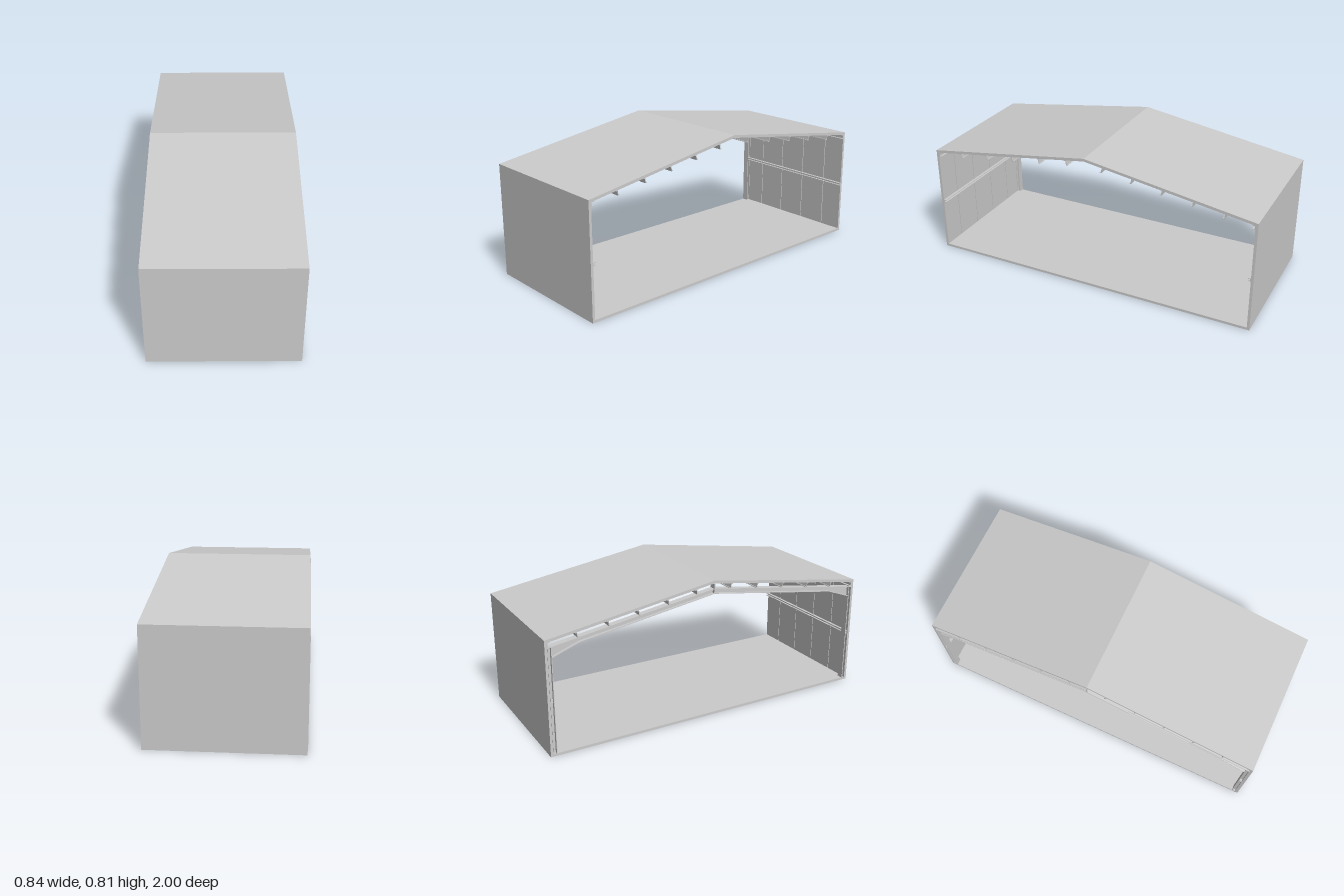
import * as THREE from 'three';

const X0 = -0.42, X1 = 0.42;       // ends of the bay
const SLOPE = 0.153;               // roof pitch
const roofY = (z, top) => top - SLOPE * Math.abs(z);

export function createModel() {
  const model = new THREE.Group();
  const material = new THREE.MeshStandardMaterial({ color: 0xcccccc, flatShading: true });

  // Extrudes a [z, y] outline along x from a to b
  function prism(name, outline, a, b, parent = model) {
    const shape = new THREE.Shape(outline.map(([z, y]) => new THREE.Vector2(z, y)));
    const geometry = new THREE.ExtrudeGeometry(shape, { depth: b - a, bevelEnabled: false });
    geometry.rotateY(-Math.PI / 2).translate(b, 0, 0);
    const mesh = new THREE.Mesh(geometry, material);
    mesh.name = name;
    parent.add(mesh);
    return mesh;
  }
  const rect = (z0, z1, y0, y1) => [[z0, y0], [z1, y0], [z1, y1], [z0, y1]];

  // Floor slab
  prism('floor', rect(-0.985, 0.985, 0, 0.015), X0, X1);

  // Z-section outline: height h, flange f, sheet thickness t, standing on y = 0
  const zed = (h, f, t) => [
    [-t / 2, t], [-t / 2, h], [f, h], [f, h - t], [t / 2, h - t],
    [t / 2, 0], [-f, 0], [-f, t],
  ];

  const seams = [X0, -0.26, -0.08, 0.10, 0.28, X1];

  for (const s of [1, -1]) {
    const side = new THREE.Group();
    side.name = s > 0 ? 'frontHalf' : 'backHalf';
    model.add(side);
    const m = (pts) => pts.map(([z, y]) => [s * z, y]);
    const add = (name, pts, a, b) => prism(name, m(pts), a, b, side);

    // Roof panel
    add('roofPanel', [[0, 0.815], [1, 0.662], [1, 0.646], [0, 0.799]], X0, X1);

    // Wall: continuous outer skin and inner lining split by narrow seams
    add('wallSkin', [[0.99, 0], [1, 0], [1, 0.646], [0.99, 0.6475]], X0, X1);
    for (let i = 0; i < seams.length - 1; i++) {
      const a = seams[i] + (i ? 0.002 : 0);
      const b = seams[i + 1] - (i < seams.length - 2 ? 0.002 : 0);
      add('wallLining', [[0.985, 0], [0.99, 0], [0.99, 0.6475], [0.985, 0.648]], a, b);
    }

    // Purlins between rafter and roof panel
    for (const z of [0.108, 0.285, 0.463, 0.64, 0.818]) {
      const purlin = prism('purlin', m(zed(0.029, 0.009, 0.004)), X0, X1, side);
      purlin.position.set(0, roofY(z, 0.77), s * z);
      purlin.rotation.x = s * Math.atan(SLOPE);
    }

    // Eave strut along the wall head
    add('eaveStrut', [
      [0.985, 0.622], [0.968, 0.622], [0.968, 0.626], [0.981, 0.626],
      [0.981, 0.645], [0.968, 0.647], [0.968, 0.651], [0.985, 0.648],
    ], X0, X1);

    // Wall girt at mid height
    add('wallGirt', [
      [0.985, 0.312], [0.969, 0.312], [0.969, 0.316], [0.981, 0.316],
      [0.981, 0.326], [0.969, 0.326], [0.969, 0.33], [0.985, 0.33],
    ], X0, X1);

    // Portal frame, I-section, at one end of the bay
    const F0 = X0 - 0.003, F1 = X0 + 0.034, mid = (F0 + F1) / 2, t = 0.004;
    const W0 = mid - 0.003, W1 = mid + 0.003;
    const under = [[0, 0.74], [0.81, 0.616], [0.965, 0.56]];
    const over = [[0, 0.77], [0.985, roofY(0.985, 0.77)]];
    const lift = (pts, d) => pts.map(([z, y]) => [z, y + d]);
    const strip = (pts, d) => [...pts, ...lift(pts, d).reverse()];

    add('rafterWeb', [...under, [0.985, 0.56], ...[...over].reverse()], W0, W1);
    add('rafterBottomFlange', strip(under, t), F0, F1);
    add('rafterTopFlange', strip(over, -t), F0, F1);
    add('columnWeb', rect(0.965, 0.985, 0.015, 0.61), W0, W1);
    add('columnInnerFlange', rect(0.963, 0.967, 0.015, 0.622), F0, F1);
    add('columnOuterFlange', rect(0.982, 0.986, 0.015, 0.619), F0, F1);
  }

  // Plate joining the rafters at the ridge
  prism('ridgePlate', rect(-0.003, 0.003, 0.74, 0.797), X0 - 0.003, X0 + 0.034);

  return model;
}
